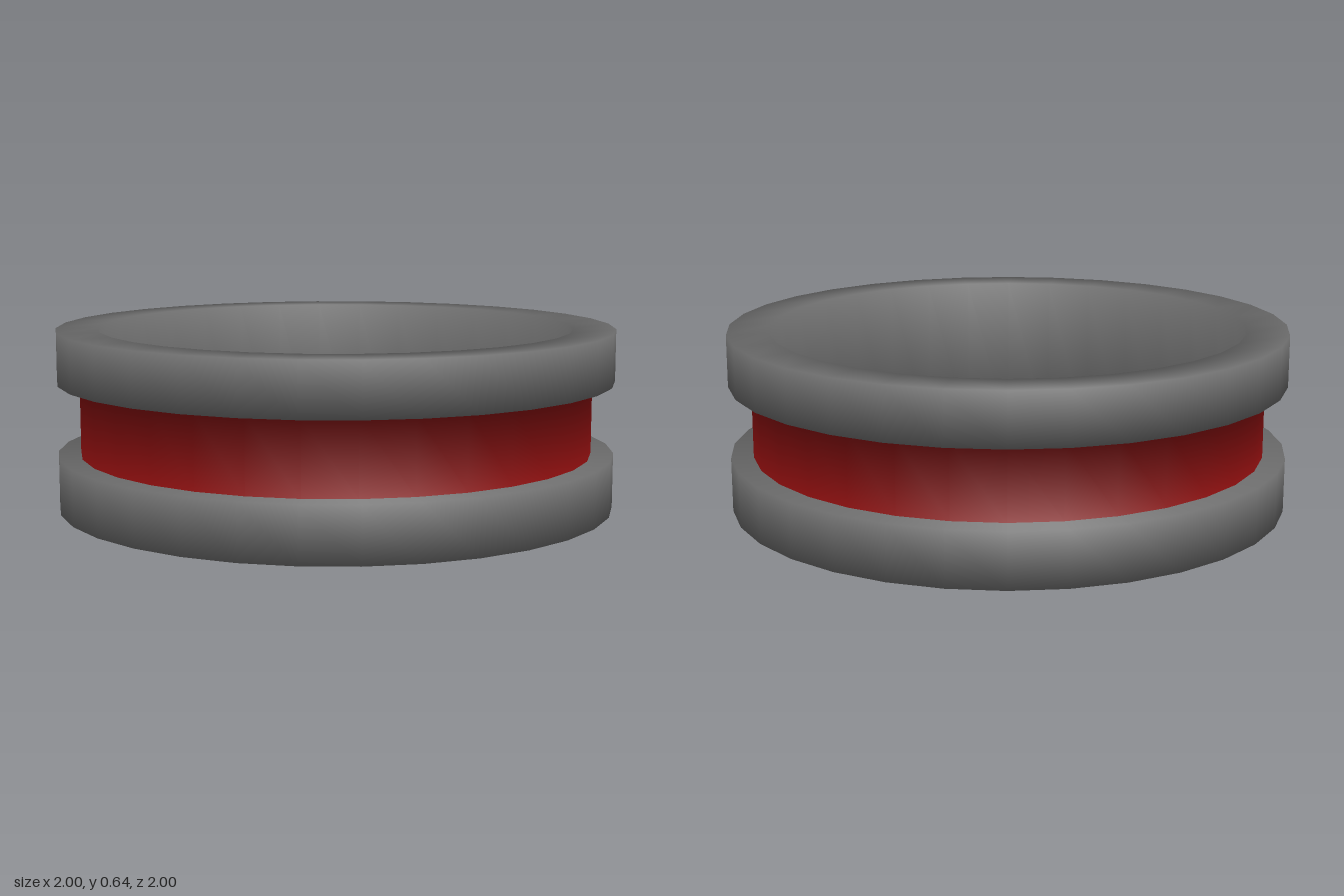
import * as THREE from 'three';

const SEGMENTS = 32;
const OUTER = 1, INNER = 0.85, GROOVE = 0.92;
const HEIGHT = 0.64, GROOVE_LOW = 0.195, GROOVE_HIGH = 0.455;
const BAND_STEP = 3; // profile step that forms the floor of the groove

// Closed section: radius, height, then the soft corner's outward and upward lean
const SECTION = [
  [INNER, 0, -1, -1], [OUTER, 0, 1, -1],
  [OUTER, GROOVE_LOW, 1, 1], [GROOVE, GROOVE_LOW, 1, 1],
  [GROOVE, GROOVE_HIGH, 1, -1], [OUTER, GROOVE_HIGH, 1, -1],
  [OUTER, HEIGHT, 1, 1], [INNER, HEIGHT, -1, 1], [INNER, 0, -1, -1],
];

export function createModel() {
  const group = new THREE.Group();
  group.name = 'ring';

  const profile = SECTION.map(([r, y]) => new THREE.Vector2(r, y));
  const lathe = new THREE.LatheGeometry(profile, SEGMENTS);

  // Blend the shading evenly across every corner
  const { normal } = lathe.attributes;
  for (let i = 0; i < normal.count; i++) {
    const [, , out, up] = SECTION[i % SECTION.length];
    const angle = Math.floor(i / SECTION.length) / SEGMENTS * Math.PI * 2;
    const lean = Math.SQRT1_2;
    normal.setXYZ(i, out * lean * Math.sin(angle), up * lean, out * lean * Math.cos(angle));
  }

  // Split the faces by profile step so both parts share the same normals
  const steps = SECTION.length - 1;
  const source = Array.from(lathe.index.array);
  const addPart = (name, color, keep) => {
    const geometry = lathe.clone();
    geometry.setIndex(source.filter((_, i) => keep(Math.floor(i / 6) % steps)));
    const mesh = new THREE.Mesh(geometry, new THREE.MeshStandardMaterial({ color }));
    mesh.name = name;
    group.add(mesh);
  };

  // Dark grey rims and inner wall, then the red band in the groove
  addPart('ringBody', 0x6e6e6e, (step) => step !== BAND_STEP);
  addPart('grooveBand', 0x800c0c, (step) => step === BAND_STEP);

  return group;
}
